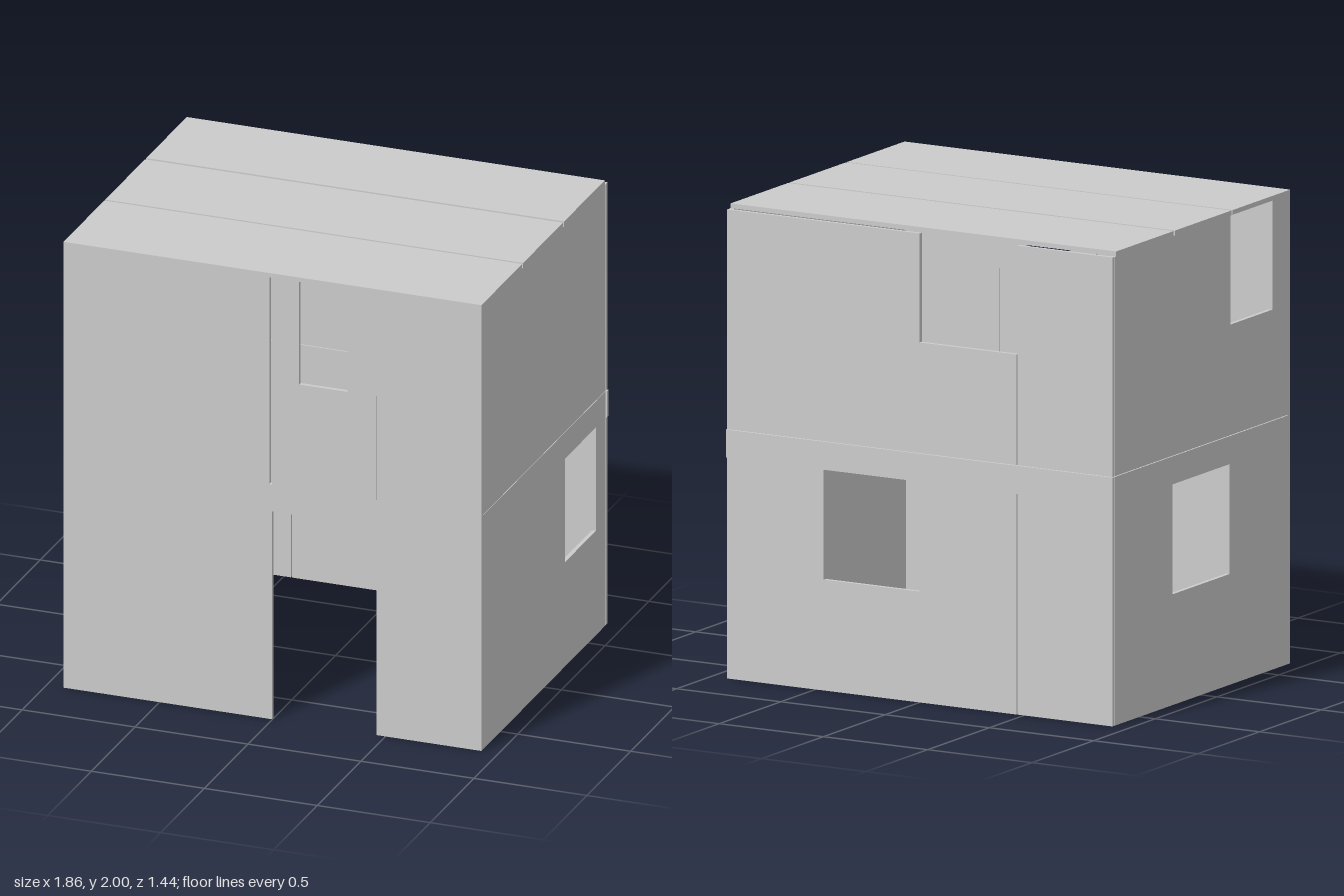
import * as THREE from 'three';

const T = 0.018;                              // panel thickness
const W = 0.925, D = 0.72;                    // half width, half depth
const SILL = 0.468, HEAD = 0.932, MID = 1.053, WIN = 1.52, TOP = 1.98;

export function createModel() {
  const house = new THREE.Group();
  house.name = 'panelHouse';
  const mat = new THREE.MeshStandardMaterial({ color: 0xcccccc, flatShading: true });

  const box = (parent, name, x0, x1, y0, y1, z0, z1) => {
    const mesh = new THREE.Mesh(new THREE.BoxGeometry(x1 - x0, y1 - y0, z1 - z0), mat);
    mesh.position.set((x0 + x1) / 2, (y0 + y1) / 2, (z0 + z1) / 2);
    mesh.name = name;
    parent.add(mesh);
  };

  // A wall is a set of flat panels [start, end, bottom, top] lying along x or z
  const wall = (name, axis, inner, panels) => {
    const group = new THREE.Group();
    group.name = name;
    panels.forEach(([a, b, y0, y1], i) => {
      const label = `${name}Panel${i + 1}`;
      if (axis === 'x') box(group, label, a, b, y0, y1, inner, inner + T);
      else box(group, label, inner, inner + T, y0, y1, a, b);
    });
    house.add(group);
  };

  // Front: doorway below, narrow window above, open joint at the middle
  wall('frontWall', 'x', D - T, [
    [-W, -0.003, 0, HEAD], [0.46, W, 0, HEAD],
    [-W, W, HEAD, MID],
    [-W, -0.014, MID, TOP],
    [-0.003, 0.458, MID, WIN], [0.461, W, MID, WIN],
    [-0.003, 0.118, WIN, TOP], [0.333, W, WIN, TOP],
  ]);

  // Back: one window on each storey, in neighbouring bays
  wall('backWall', 'x', -D, [
    [-W, -0.469, 0, HEAD], [-0.465, 0, 0, HEAD],
    [0, 0.46, 0, SILL], [0.46, W, 0, HEAD],
    [-W, 0.93, HEAD, MID - 0.003],
    [-W, -0.469, MID, TOP], [-0.465, W, MID, WIN],
    [0, W, WIN, TOP],
  ]);

  const e = D - T - 0.002;                    // side walls fit between front and back

  // Left side (+x): lower window near the back
  wall('leftWall', 'z', W - T, [
    [-e, e, 0, SILL],
    [-e, -0.588, SILL, HEAD], [-0.237, e, SILL, HEAD],
    [-e, e, HEAD, MID - 0.003],
    [-e, e, MID, TOP],
  ]);

  // Right side (-x): lower window in the middle, upper window near the front
  wall('rightWall', 'z', -W, [
    [-e, e, 0, SILL],
    [-e, -0.232, SILL, HEAD], [0.228, e, SILL, HEAD],
    [-e, e, HEAD, MID - 0.003],
    [-e, e, MID, WIN],
    [-e, 0.237, WIN, TOP], [0.575, e, WIN, TOP],
  ]);

  // Roof: three slabs separated by open joints
  [[-0.69, -0.226], [-0.212, 0.243], [0.254, D]].forEach(([z0, z1], i) =>
    box(house, `roofSlab${i + 1}`, -W, W, TOP, 2, z0, z1));

  return house;
}
